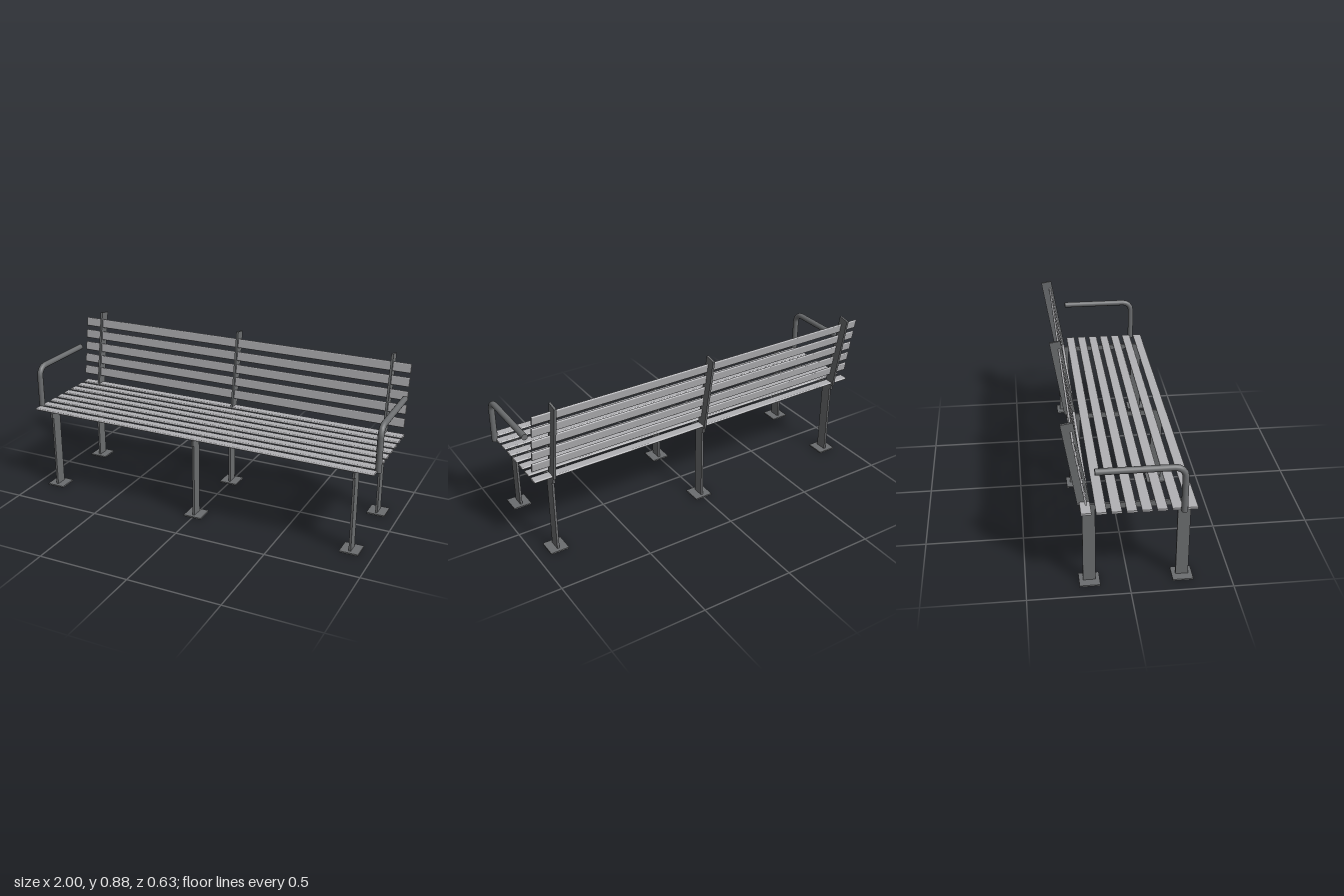
import * as THREE from 'three';

const slatMaterial = new THREE.MeshStandardMaterial({ color: 0xb2b2b5 });
slatMaterial.name = 'light grey slats';
const frameMaterial = new THREE.MeshStandardMaterial({ color: 0x6b6d6f });
frameMaterial.name = 'dark grey steel';

const TILT = Math.atan2(0.072, 0.431); // backward lean of the backrest
const STEEL = 0.012; // thickness of the flat bars

function add(parent, name, geometry, material, x, y, z) {
  const mesh = new THREE.Mesh(geometry, material);
  mesh.name = name;
  mesh.position.set(x, y, z);
  parent.add(mesh);
  return mesh;
}

// Long slat along x with rounded long edges
function slatGeometry(length, width, thickness) {
  const r = thickness / 2;
  const a = width / 2 - r;
  const shape = new THREE.Shape();
  shape.moveTo(-a, -r);
  shape.lineTo(a, -r);
  shape.absarc(a, 0, r, -Math.PI / 2, Math.PI / 2, false);
  shape.lineTo(-a, r);
  shape.absarc(-a, 0, r, Math.PI / 2, Math.PI * 1.5, false);
  const geometry = new THREE.ExtrudeGeometry(shape, { depth: length, bevelEnabled: false, curveSegments: 6 });
  geometry.translate(0, 0, -length / 2);
  return geometry.rotateY(Math.PI / 2);
}

// One support: two legs with foot plates, a seat beam and a leaning back post
function createSupport(x) {
  const support = new THREE.Group();
  support.name = 'support';
  support.position.x = x;
  for (const [name, z] of [['front', 0.264], ['rear', -0.191]]) {
    add(support, name + 'Leg', new THREE.BoxGeometry(STEEL, 0.41, 0.062), frameMaterial, 0, 0.212, z);
    add(support, name + 'FootPlate', new THREE.BoxGeometry(0.1, 0.008, 0.101), frameMaterial, 0, 0.004, z);
  }
  add(support, 'seatBeam', new THREE.BoxGeometry(STEEL, 0.03, 0.541), frameMaterial, 0, 0.431, 0.0365);
  const post = add(support, 'backPost', new THREE.BoxGeometry(STEEL, 0.437, 0.06), frameMaterial, 0, 0.664, -0.249);
  post.rotation.x = -TILT;
  return support;
}

// Bent tube: upright, quarter bend and horizontal grip
function createArmrest(x) {
  const arm = new THREE.Group();
  arm.name = 'armrest';
  arm.position.x = x;
  const r = 0.016, bend = 0.05, frontZ = 0.244, topY = 0.684, bottomY = 0.447, backZ = -0.17;
  const bendY = topY - bend, bendZ = frontZ - bend;
  const tube = (length) => new THREE.CylinderGeometry(r, r, length, 20);
  add(arm, 'armUpright', tube(bendY - bottomY), frameMaterial, 0, (bendY + bottomY) / 2, frontZ);
  add(arm, 'armGrip', tube(bendZ - backZ).rotateX(Math.PI / 2), frameMaterial, 0, topY, (bendZ + backZ) / 2);
  const elbow = new THREE.TorusGeometry(bend, r, 20, 4, Math.PI / 2).rotateY(-Math.PI / 2);
  add(arm, 'armBend', elbow, frameMaterial, 0, bendY, bendZ);
  return arm;
}

export function createModel() {
  const bench = new THREE.Group();
  bench.name = 'bench';
  const slat = slatGeometry(1.964, 0.05, 0.011);

  // Seat slats, front to back
  for (let i = 0; i < 8; i++) {
    add(bench, 'seatSlat', slat, slatMaterial, 0, 0.457, 0.285 - 0.0707 * i);
  }

  // Backrest slats, bottom to top
  for (let i = 0; i < 5; i++) {
    const t = i / 4;
    const back = add(bench, 'backSlat', slat, slatMaterial, 0, 0.531 + 0.286 * t, -0.213 - 0.048 * t);
    back.rotation.x = Math.PI / 2 - TILT;
  }

  for (const x of [-0.88, 0, 0.88]) bench.add(createSupport(x));
  for (const x of [-0.984, 0.984]) bench.add(createArmrest(x));
  return bench;
}
